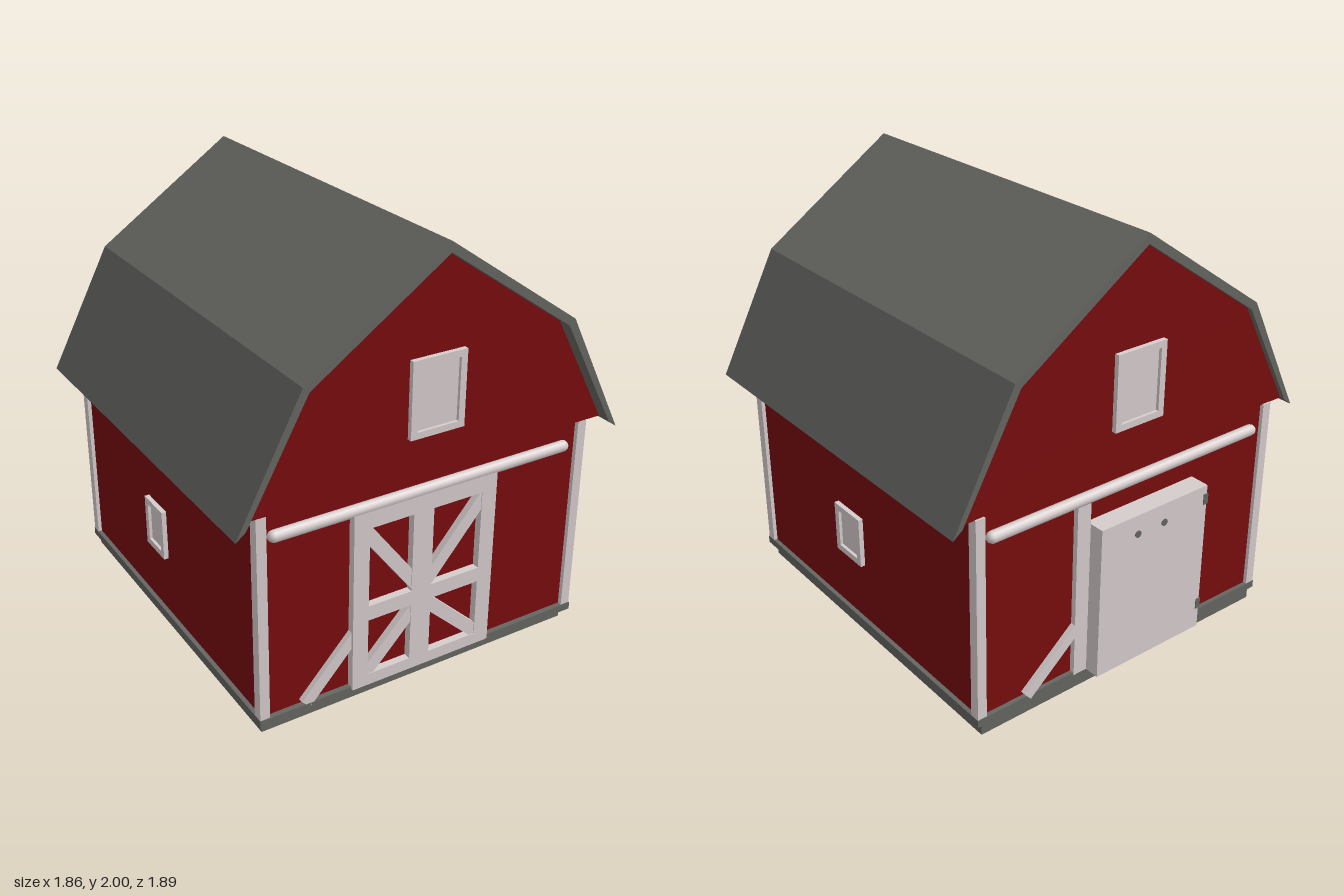
import * as THREE from 'three';

const red = new THREE.MeshStandardMaterial({ color: 0x780c0e });
red.name = 'barn red';
const white = new THREE.MeshStandardMaterial({ color: 0xd6cccc });
white.name = 'trim white';
const grey = new THREE.MeshStandardMaterial({ color: 0x656661 });
grey.name = 'roof grey';

// Box given by its limits on each axis
function box(name, mat, [x0, x1], [y0, y1], [z0, z1]) {
  const m = new THREE.Mesh(new THREE.BoxGeometry(x1 - x0, y1 - y0, z1 - z0), mat);
  m.position.set((x0 + x1) / 2, (y0 + y1) / 2, (z0 + z1) / 2);
  m.name = name;
  return m;
}

// Flat bar between two points of a wall plane
function bar(name, x0, y0, x1, y1, width, z, depth) {
  const len = Math.hypot(x1 - x0, y1 - y0);
  const m = new THREE.Mesh(new THREE.BoxGeometry(len, width, depth), white);
  m.position.set((x0 + x1) / 2, (y0 + y1) / 2, z);
  m.rotation.z = Math.atan2(y1 - y0, x1 - x0);
  m.name = name;
  return m;
}

// Outline in x and y pushed along z
function prism(name, mat, points, z0, z1) {
  const shape = new THREE.Shape(points.map(p => new THREE.Vector2(...p)));
  const geo = new THREE.ExtrudeGeometry(shape, { depth: z1 - z0, bevelEnabled: false });
  const m = new THREE.Mesh(geo.translate(0, 0, z0), mat);
  m.name = name;
  return m;
}

// Window facing +z: raised frame around a recessed shutter
function makeWindow(name, w, h) {
  const g = new THREE.Group();
  g.name = name;
  const rect = (s, a, b) => s.moveTo(-a, -b).lineTo(a, -b).lineTo(a, b).lineTo(-a, b).closePath();
  const shape = rect(new THREE.Shape(), w / 2, h / 2);
  shape.holes.push(rect(new THREE.Path(), w / 2 - 0.03, h / 2 - 0.03));
  const frame = new THREE.Mesh(
    new THREE.ExtrudeGeometry(shape, { depth: 0.022, bevelEnabled: false }), white);
  frame.name = 'windowFrame';
  g.add(frame, box('windowShutter', white,
    [-w / 2 + 0.02, w / 2 - 0.02], [-h / 2 + 0.02, h / 2 - 0.02], [0, 0.008]));
  return g;
}

function makeFrontDoor() {
  const g = new THREE.Group();
  g.name = 'frontDoor';
  const z = 0.88, d = 0.04;
  const bars = [
    [-0.345, 0.08, -0.345, 0.94, 0.075], [0.288, 0.08, 0.288, 0.92, 0.075],
    [-0.045, 0.08, -0.045, 0.94, 0.1],
    [-0.38, 0.105, 0.32, 0.105, 0.055], [-0.36, 0.44, 0.32, 0.44, 0.07],
    [-0.36, 0.89, 0.3, 0.89, 0.09],
  ];
  bars.forEach(b => g.add(bar('doorFrame', ...b, z, d)));
  // Diagonals meet at the middle post
  for (const yEdge of [0.83, 0.13]) {
    const yMid = yEdge > 0.5 ? 0.49 : 0.4;
    g.add(bar('doorBrace', -0.32, yEdge, -0.06, yMid, 0.06, z, d - 0.006));
    g.add(bar('doorBrace', 0.27, yEdge, -0.02, yMid, 0.06, z, d - 0.006));
  }
  return g;
}

function makeBackDoor() {
  const g = new THREE.Group();
  g.name = 'backDoor';
  g.add(box('doorPanel', white, [-0.36, 0.24], [0.08, 0.81], [-0.945, -0.85]));
  g.add(box('doorEdge', white, [0.24, 0.31], [0.08, 0.92], [-0.875, -0.84]));
  // Bolts near the top of the panel
  for (const x of [0.04, -0.11]) {
    const bolt = new THREE.Mesh(new THREE.CylinderGeometry(0.016, 0.016, 0.008, 12), grey);
    bolt.rotation.x = Math.PI / 2;
    bolt.position.set(x, 0.72, -0.946);
    bolt.name = 'doorBolt';
    g.add(bolt);
  }
  // Hinges along one edge
  for (const y of [0.18, 0.72]) {
    g.add(box('doorHinge', grey, [-0.365, -0.34], [y, y + 0.05], [-0.949, -0.92]));
  }
  return g;
}

// Round rail that the sliding door hangs from
function rail(name, x0, x1, z) {
  const m = new THREE.Mesh(new THREE.CapsuleGeometry(0.026, x1 - x0 - 0.052, 4, 10), white);
  m.rotation.z = Math.PI / 2;
  m.position.set((x0 + x1) / 2, 0.935, z);
  m.name = name;
  return m;
}

export function createModel() {
  const barn = new THREE.Group();
  barn.name = 'barn';

  // Stepped base and walls
  barn.add(box('foundation', grey, [-0.79, 0.79], [0, 0.06], [-0.86, 0.85]));
  barn.add(box('foundationLip', grey, [-0.815, 0.815], [0.055, 0.09], [-0.87, 0.89]));
  barn.add(box('walls', red, [-0.795, 0.795], [0.08, 1.06], [-0.85, 0.865]));

  // Gambrel gable block and roof shell
  const mirror = pts => [...pts, ...pts.slice(0, -1).reverse().map(([x, y]) => [-x, y])];
  const outer = mirror([[0.93, 1.0], [0.64, 1.56], [0, 2]]);
  const inner = mirror([[0.885, 1.035], [0.612, 1.535], [0, 1.955]]);
  barn.add(prism('gables', red, inner, -0.86, 0.885));
  barn.add(prism('roof', grey, [...outer, ...inner.slice().reverse()], -0.885, 0.945));

  // Corner posts
  for (const s of [-1, 1]) {
    for (const z of [[0.838, 0.885], [-0.868, -0.822]]) {
      const xs = s > 0 ? [0.768, 0.813] : [-0.813, -0.768];
      barn.add(box('cornerPost', white, xs, [0.08, 1.037], z));
    }
  }

  // Doors with rails and slanted props
  barn.add(makeFrontDoor(), makeBackDoor());
  barn.add(rail('frontRail', -0.76, 0.72, 0.878));
  barn.add(rail('backRail', -0.72, 0.76, -0.865));
  barn.add(bar('frontProp', -0.6, 0.09, -0.35, 0.36, 0.055, 0.875, 0.03));
  barn.add(bar('backProp', 0.56, 0.09, 0.27, 0.34, 0.05, -0.86, 0.03));

  // Gable windows and side windows
  const windows = [
    ['frontWindow', 0.26, 0.34, 0, 1.36, 0.885, 0],
    ['backWindow', 0.26, 0.34, 0, 1.36, -0.86, Math.PI],
    ['leftWindow', 0.2, 0.24, 0.795, 0.5, 0.09, Math.PI / 2],
    ['rightWindow', 0.18, 0.24, -0.795, 0.5, -0.08, -Math.PI / 2],
  ];
  for (const [name, w, h, x, y, z, turn] of windows) {
    const win = makeWindow(name, w, h);
    win.position.set(x, y, z);
    win.rotation.y = turn;
    barn.add(win);
  }
  return barn;
}
